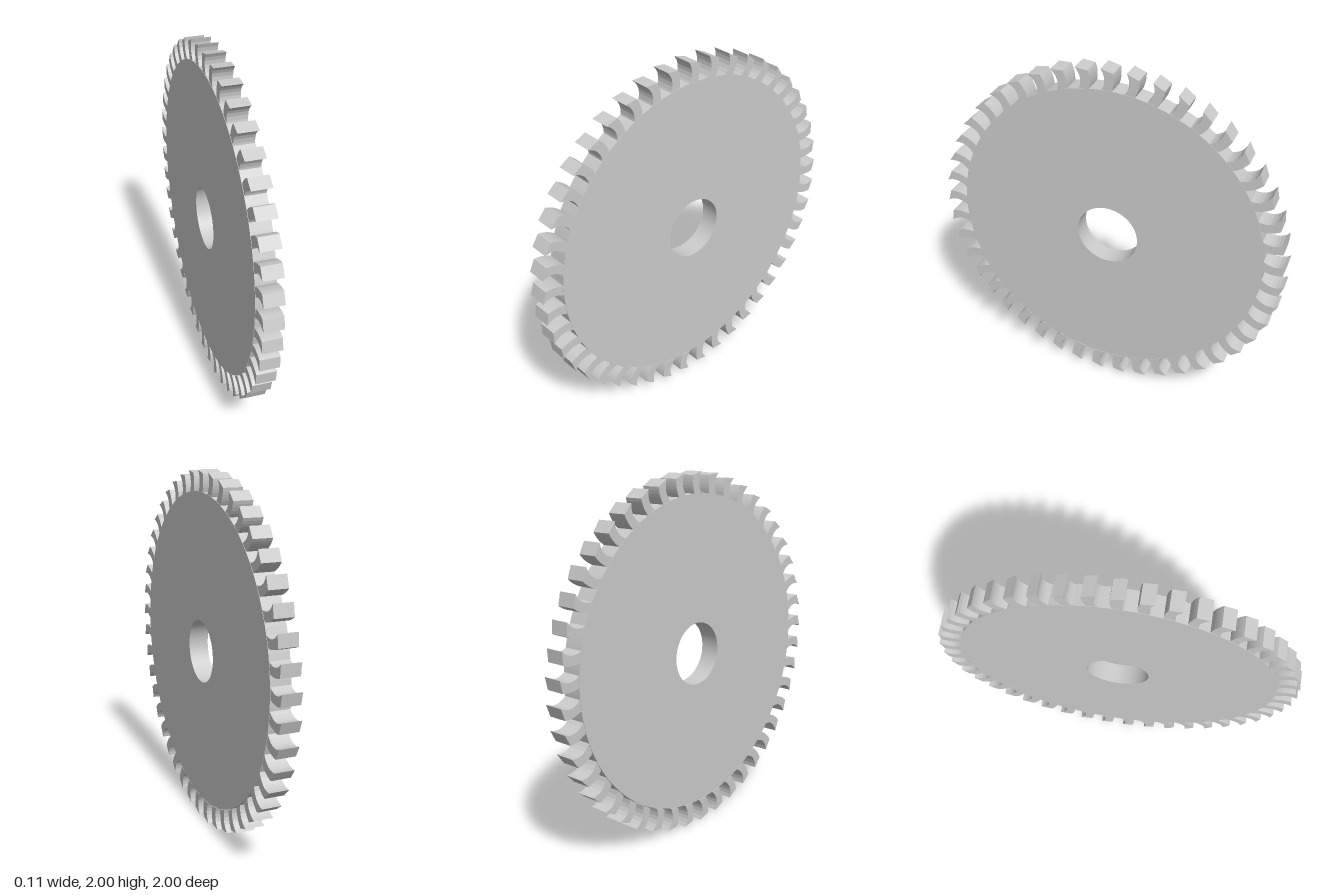
import * as THREE from 'three';

const material = new THREE.MeshStandardMaterial({ color: 0xcccccc, flatShading: true });

// Extrudes a shape so that its thickness is centred on the wheel plane
function slab(shape, thickness, curveSegments) {
  const geometry = new THREE.ExtrudeGeometry(shape, { depth: thickness, bevelEnabled: false, curveSegments });
  return geometry.translate(0, 0, -thickness / 2);
}

export function createModel() {
  const model = new THREE.Group();
  model.name = 'sawBlade';

  const wheel = new THREE.Group();
  wheel.name = 'wheel';
  wheel.position.y = 1;
  wheel.rotation.y = Math.PI / 2; // axle along x
  model.add(wheel);

  // Disc with the arbor hole, set slightly above the ring of teeth
  const discShape = new THREE.Shape().absarc(0, 0, 0.877, 0, Math.PI * 2, false);
  discShape.holes.push(new THREE.Path().absarc(0, 0, 0.175, 0, Math.PI * 2, true));
  const disc = new THREE.Mesh(slab(discShape, 0.112, 64), material);
  disc.name = 'disc';
  disc.position.y = 0.009;
  wheel.add(disc);

  // Hooked tooth: x runs outwards, y along the direction of the tip
  const toothShape = new THREE.Shape();
  toothShape.moveTo(0.873, -0.052);
  toothShape.quadraticCurveTo(0.925, -0.075, 0.98, -0.067); // convex back
  toothShape.lineTo(1, 0);
  toothShape.quadraticCurveTo(0.935, -0.042, 0.873, 0.01); // hollow face
  toothShape.closePath();
  const toothGeometry = slab(toothShape, 0.108, 6);

  const teeth = new THREE.Group();
  teeth.name = 'teeth';
  wheel.add(teeth);
  const count = 45;
  for (let i = 0; i < count; i++) {
    const tooth = new THREE.Mesh(toothGeometry, material);
    tooth.name = 'tooth';
    tooth.rotation.z = Math.PI + (i / count) * Math.PI * 2;
    teeth.add(tooth);
  }

  return model;
}
